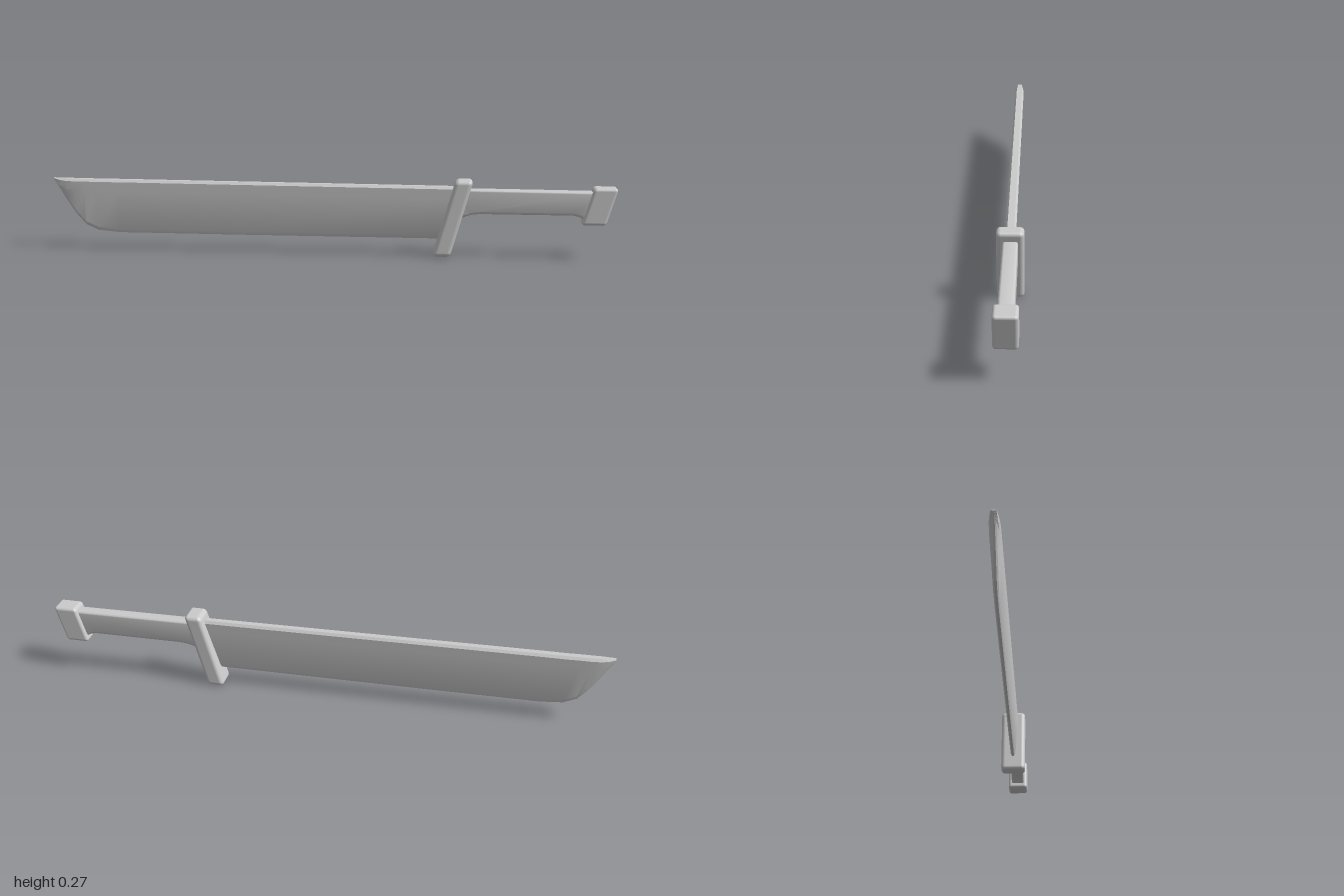
import * as THREE from 'three';
import { toCreasedNormals } from 'three/addons/utils/BufferGeometryUtils.js';
import { RoundedBoxGeometry } from 'three/addons/geometries/RoundedBoxGeometry.js';

const material = new THREE.MeshStandardMaterial({ color: 0xcccccc });

function addPart(group, name, geometry) {
  const mesh = new THREE.Mesh(geometry, material);
  mesh.name = name;
  group.add(mesh);
  return mesh;
}

// Rounded block leaning towards +x as it rises
function slantedBlock(width, height, depth, radius, slant) {
  const geometry = new RoundedBoxGeometry(width, height, depth, 3, radius);
  return geometry.applyMatrix4(new THREE.Matrix4().makeShear(0, 0, slant, 0, 0, 0));
}

// Blade lofted through upright sections: [x, bottom y, top y, thickness factor]
function bladeGeometry() {
  const stations = [
    [-1, 0.249, 0.257, 0.5], [-0.98, 0.22, 0.256, 0.7], [-0.955, 0.178, 0.256, 0.9],
    [-0.92, 0.127, 0.255, 1], [-0.885, 0.088, 0.255, 1], [-0.84, 0.068, 0.254, 1],
    [-0.76, 0.061, 0.254, 1], [-0.3, 0.06, 0.251, 1], [0.44, 0.06, 0.246, 1],
  ];
  // One side of the section: [drop below the spine, half thickness], then the edge
  const side = [[0, 0.011], [0.009, 0.018], [0.04, 0.0165]];
  const positions = [], indices = [];
  for (const [x, bottom, top, thick] of stations) {
    const height = top - bottom;
    const half = side.map(([drop, z]) => [top - Math.min(drop, height * drop / 0.06), z * thick]);
    half.push([bottom + Math.min(0.012, height * 0.15), 0.009 * thick], [bottom, 0.004 * thick]);
    const ring = [...half, ...half.slice().reverse().map(([y, z]) => [y, -z])];
    for (const [y, z] of ring) positions.push(x, y, z);
  }
  const n = 10, last = (stations.length - 1) * n;
  for (let i = 0; i < stations.length - 1; i++) {
    for (let j = 0; j < n; j++) {
      const a = i * n + j, b = i * n + (j + 1) % n;
      indices.push(a, b, a + n, b, b + n, a + n);
    }
  }
  for (let j = 1; j < n - 1; j++) {
    indices.push(0, j + 1, j, last, last + j, last + j + 1);
  }
  const geometry = new THREE.BufferGeometry();
  geometry.setAttribute('position', new THREE.Float32BufferAttribute(positions, 3));
  geometry.setIndex(indices);
  return toCreasedNormals(geometry, 0.35);
}

// Grip outline, flaring below at both ends, with softened edges
function gripGeometry() {
  const shape = new THREE.Shape();
  shape.moveTo(0.44, 0.238);
  shape.lineTo(0.44, 0.13);
  shape.lineTo(0.465, 0.135);
  shape.quadraticCurveTo(0.495, 0.152, 0.54, 0.152);
  shape.lineTo(0.85, 0.152);
  shape.quadraticCurveTo(0.875, 0.15, 0.895, 0.135);
  shape.lineTo(0.95, 0.135);
  shape.lineTo(0.95, 0.235);
  shape.closePath();
  const geometry = new THREE.ExtrudeGeometry(shape, {
    depth: 0.034, curveSegments: 6,
    bevelThickness: 0.008, bevelSize: 0.008, bevelOffset: -0.008, bevelSegments: 3,
  });
  geometry.translate(0, 0, -0.017);
  return toCreasedNormals(geometry, 0.7);
}

export function createModel() {
  const group = new THREE.Group();
  group.name = 'machete';
  addPart(group, 'blade', bladeGeometry());
  addPart(group, 'grip', gripGeometry());
  addPart(group, 'guard', slantedBlock(0.062, 0.27, 0.09, 0.015, 0.29)).position.set(0.437, 0.135, 0);
  addPart(group, 'pommel', slantedBlock(0.083, 0.13, 0.076, 0.011, 0.31)).position.set(0.942, 0.185, 0);
  return group;
}
